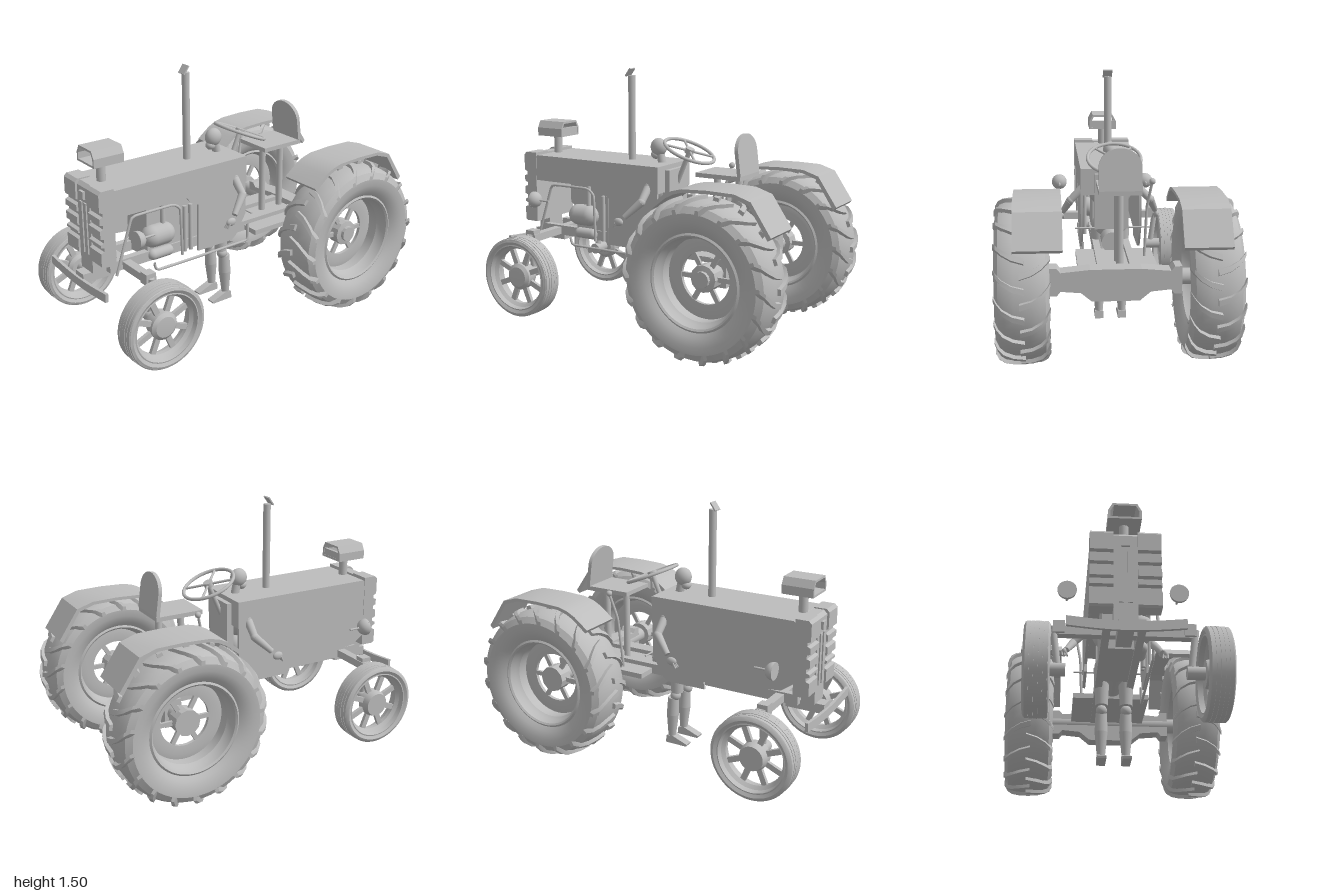
import * as THREE from 'three';
import { toCreasedNormals } from 'three/addons/utils/BufferGeometryUtils.js';

const CX = -0.015; // centre line of the body
const V = (x, y, z) => new THREE.Vector3(x, y, z);

export function createModel() {
  const root = new THREE.Group();
  root.name = 'tractor';
  const grey = new THREE.MeshStandardMaterial({ color: 0xbcbcbc, side: THREE.DoubleSide });
  grey.name = 'plain grey';

  const add = (name, geo, parent = root, x = 0, y = 0, z = 0) => {
    const m = new THREE.Mesh(geo, grey);
    m.name = name;
    m.position.set(x, y, z);
    parent.add(m);
    return m;
  };
  const group = (name, parent = root, x = 0, y = 0, z = 0) => {
    const g = new THREE.Group();
    g.name = name;
    g.position.set(x, y, z);
    parent.add(g);
    return g;
  };
  // box from its limits
  const box = (name, x0, x1, y0, y1, z0, z1, parent = root) =>
    add(name, new THREE.BoxGeometry(x1 - x0, y1 - y0, z1 - z0), parent, (x0 + x1) / 2, (y0 + y1) / 2, (z0 + z1) / 2);
  // side outline of [z, y] points, extruded along x
  const side = (name, pts, x0, x1, parent = root) => {
    const s = new THREE.Shape(pts.map(([z, y]) => new THREE.Vector2(-z, y)));
    const g = new THREE.ExtrudeGeometry(s, { depth: x1 - x0, bevelEnabled: false });
    return add(name, toCreasedNormals(g.rotateY(Math.PI / 2), 0.55), parent, x0);
  };
  // round bar between two points
  const link = (name, a, b, ra, rb = ra, parent = root) => {
    const d = b.clone().sub(a);
    const m = add(name, new THREE.CylinderGeometry(rb, ra, d.length(), 16), parent);
    m.position.copy(a).addScaledVector(d, 0.5);
    m.quaternion.setFromUnitVectors(V(0, 1, 0), d.normalize());
    return m;
  };
  const ball = (name, p, r, parent = root, sx = 1, sy = 1, sz = 1) => {
    const m = add(name, new THREE.SphereGeometry(r, 18, 12), parent, p.x, p.y, p.z);
    m.scale.set(sx, sy, sz);
    return m;
  };
  const pipe = (name, pts, r, parent = root) =>
    add(name, new THREE.TubeGeometry(new THREE.CatmullRomCurve3(pts, false, 'catmullrom', 0.15), 40, r, 8), parent);
  // turned part around the x axis from [radius, x] points
  const turned = (name, pts, parent, n = 56) => {
    const g = new THREE.LatheGeometry(pts.map(([r, x]) => new THREE.Vector2(r, x)), n);
    return add(name, toCreasedNormals(g.rotateZ(-Math.PI / 2), 0.5), parent);
  };
  const spokes = (n, r0, r1, w, t, x, parent) => {
    for (let i = 0; i < n; i++) {
      const g = new THREE.BoxGeometry(t, r1 - r0, w).translate(x, (r0 + r1) / 2, 0);
      add('spoke', g, parent).rotation.x = ((i + 0.5) / n) * Math.PI * 2;
    }
  };

  // curved tyre lug made of rectangular sections [x, base radius, top radius, angle]
  const lugGeometry = (sign) => {
    const rows = [[-0.012, 0.425, 0.453, 0], [0.05, 0.42, 0.452, 0.04], [0.1, 0.405, 0.443, 0.11], [0.13, 0.385, 0.425, 0.19], [0.145, 0.372, 0.398, 0.25]];
    const pos = [], idx = [];
    rows.forEach(([x, r0, r1, a], i) => {
      const w = 0.045 - i * 0.003;
      for (const [r, da] of [[r0, -w], [r1, -w * 0.75], [r1, w * 0.75], [r0, w]])
        pos.push(x * sign, r * Math.cos(a + da), r * Math.sin(a + da));
      if (i) for (let k = 0; k < 4; k++) {
        const p = (i - 1) * 4 + k, q = (i - 1) * 4 + ((k + 1) % 4);
        if (sign > 0) idx.push(p, q, p + 4, q, q + 4, p + 4);
        else idx.push(p, p + 4, q, q, p + 4, q + 4);
      }
    });
    const e = (rows.length - 1) * 4;
    if (sign > 0) idx.push(0, 2, 1, 0, 3, 2, e, e + 1, e + 2, e, e + 2, e + 3);
    else idx.push(0, 1, 2, 0, 2, 3, e, e + 2, e + 1, e, e + 3, e + 2);
    const g = new THREE.BufferGeometry();
    g.setAttribute('position', new THREE.Float32BufferAttribute(pos, 3));
    g.setIndex(idx);
    return toCreasedNormals(g, 0.4);
  };
  const lugs = [lugGeometry(1), lugGeometry(-1)];

  for (const s of [-1, 1]) {
    // rear wheel
    const rear = group('rearWheel', root, s * 0.5, 0.455, -0.54);
    turned('rearTyre', [[0.265, -0.1], [0.29, -0.12], [0.335, -0.138], [0.375, -0.14], [0.41, -0.12], [0.425, -0.09], [0.433, -0.04],
      [0.433, 0.04], [0.425, 0.09], [0.41, 0.12], [0.375, 0.14], [0.335, 0.138], [0.29, 0.12], [0.265, 0.1]], rear, 64);
    for (let i = 0; i < 18; i++) lugs.forEach((g, k) => {
      add('tyreLug', g, rear).rotation.x = ((i + k / 2) / 18) * Math.PI * 2;
    });
    // deep rim with the disc set towards the inside
    turned('rearRim', [[0.268, -0.1], [0.255, -0.108], [0.245, -0.1], [0.238, -0.06], [0.225, -0.04], [0.225, 0.04],
      [0.238, 0.06], [0.245, 0.1], [0.255, 0.108], [0.268, 0.1]], rear, 64);
    const dx = -s * 0.03;
    turned('rearDisc', [[0.23, dx - 0.008], [0.195, dx - 0.014], [0.145, dx - 0.01], [0.145, dx + 0.01], [0.195, dx + 0.014], [0.23, dx + 0.008]], rear, 48);
    spokes(6, 0.06, 0.15, 0.026, 0.016, dx, rear);
    turned('rearHub', [[0, dx - 0.045], [0.075, dx - 0.045], [0.075, dx + 0.035], [0.045, dx + 0.04], [0.045, dx + 0.06], [0, dx + 0.06]], rear, 12);

    // front wheel with ribbed tread
    const front = group('frontWheel', root, s * 0.446, 0.262, 0.755);
    const tread = [[0.2, -0.055], [0.22, -0.066], [0.235, -0.06]];
    for (let i = -2; i <= 2; i++) {
      const x = i * 0.022, r = 0.243 - Math.abs(i) * 0.001;
      tread.push([r, x - 0.0098], [r, x + 0.0098], [r - 0.003, x + 0.01], [r - 0.003, x + 0.012]);
    }
    tread.push([0.235, 0.06], [0.22, 0.066], [0.2, 0.055]);
    turned('frontTyre', tread, front);
    turned('frontRim', [[0.205, -0.055], [0.195, -0.058], [0.188, -0.03], [0.17, -0.012], [0.17, 0.012], [0.188, 0.03], [0.195, 0.058], [0.205, 0.055]], front);
    spokes(8, 0.06, 0.178, 0.032, 0.02, 0, front);
    turned('frontHub', [[0, -0.05], [0.07, -0.05], [0.08, -0.02], [0.08, 0.025], [0.06, 0.04], [0, 0.045]], front, 28);

    // steering knuckle and stub axle
    const kx = s * 0.335 + CX * 0.5;
    link('kingPin', V(kx + s * 0.03, 0.5, 0.755), V(kx, 0.27, 0.755), 0.018);
    link('stubAxle', V(s * 0.305, 0.265, 0.755), V(s * 0.43, 0.265, 0.755), 0.034);
    box('axleEnd', kx - 0.03, kx + 0.03, 0.46, 0.525, 0.725, 0.785);

    // headlight with its rear stem
    const lamp = group('headlight', root, CX + s * 0.29, 0.7, 0.785);
    add('lampShell', new THREE.SphereGeometry(0.05, 24, 10, 0, Math.PI * 2, 0, Math.PI / 2).rotateX(-Math.PI / 2), lamp);
    add('lampGlass', new THREE.CylinderGeometry(0.05, 0.05, 0.01, 24).rotateX(Math.PI / 2), lamp);
    link('lampStem', V(0, 0, -0.04), V(0, 0, -0.115), 0.006, 0.006, lamp);

    // fender strip following the wheel
    const arc = [[-0.235, 0.825], [-0.32, 0.89], [-0.37, 0.915], [-0.43, 0.931], [-0.58, 0.938], [-0.735, 0.935], [-0.83, 0.905], [-0.945, 0.735]];
    const inner = arc.map(([z, y]) => [z + (-0.54 - z) * 0.045, y - 0.018]).reverse();
    const fx = -0.012 + s * 0.43;
    side('fender', [...arc, ...inner], fx - 0.126, fx + 0.126);

    box('chassisRail', CX + s * 0.09 - 0.02, CX + s * 0.09 + 0.02, 0.45, 0.51, -0.5, 0.85);

    // mannequin limbs
    const limb = group(s > 0 ? 'leftLimbs' : 'rightLimbs');
    const lx = CX + s * 0.07;
    link('thigh', V(lx, 0.58, 0.06), V(lx, 0.35, 0.06), 0.048, 0.036, limb);
    ball('knee', V(lx, 0.325, 0.05), 0.032, limb);
    link('calf', V(lx, 0.2, 0.03), V(lx, 0.31, 0.035), 0.037, 0.033, limb);
    link('shin', V(lx, 0.06, 0.025), V(lx, 0.2, 0.03), 0.023, 0.037, limb);
    ball('ankle', V(lx, 0.05, 0.025), 0.025, limb);
    side('foot', [[0.135, 0.015], [0.14, 0.028], [0.08, 0.05], [0.04, 0.065], [0, 0.06], [-0.005, 0.015]], lx - 0.025, lx + 0.025, limb);
    const shoulder = V(CX + s * 0.155, 0.84, 0.03), elbow = V(CX + s * 0.238, 0.755, 0.03), wrist = V(CX + s * 0.28, 0.665, 0.12);
    ball('shoulder', shoulder, 0.03, limb);
    link('upperArm', shoulder, elbow, 0.026, 0.022, limb);
    ball('elbow', elbow, 0.024, limb);
    link('forearm', elbow, wrist, 0.025, 0.017, limb);
    ball('hand', V(CX + s * 0.292, 0.635, 0.155), 0.02, limb, 0.8, 1.2, 1.6);
    for (let f = -1; f <= 1; f++)
      link('finger', V(CX + s * 0.292 + f * 0.012, 0.63, 0.17), V(CX + s * 0.287 + f * 0.014, 0.6, 0.185), 0.006, 0.005, limb);
  }

  // mannequin head and trunk
  const body = group('mannequin');
  ball('head', V(CX, 1.046, 0.06), 0.047, body, 0.9, 1.15, 1.1);
  ball('jaw', V(CX, 1.0, 0.08), 0.03, body, 1, 0.9, 1);
  link('neck', V(CX, 0.92, 0.03), V(CX, 1.02, 0.05), 0.026, 0.024, body);
  ball('chest', V(CX, 0.82, 0.03), 0.11, body, 1.2, 1.1, 0.7);
  ball('hips', V(CX, 0.6, 0.045), 0.09, body, 1.25, 0.9, 0.7);

  // hood, side panels and engine
  const L = CX - 0.18, R = CX + 0.18;
  side('hood', [[0.855, 0.8], [0.855, 0.945], [0.84, 0.957], [-0.045, 0.957], [-0.045, 0.8]], L, R);
  const tail = [[0.305, 0.455], [0.06, 0.455], [0.03, 0.48], [-0.04, 0.6], [-0.04, 0.8]];
  side('rightPanel', [[0.38, 0.8], [0.36, 0.775], [0.3, 0.74], ...tail], R - 0.015, R);
  side('leftPanel', [[0.85, 0.8], [0.85, 0.6], [0.78, 0.55], [0.3, 0.5], ...tail], L, L + 0.015);
  box('dash', CX - 0.1, CX + 0.1, 0.6, 0.93, -0.075, -0.03);
  box('engineBlock', CX - 0.1, CX + 0.1, 0.46, 0.8, 0.16, 0.6);
  for (const [y, r, len, z] of [[0.6, 0.065, 0.075, 0.535], [0.485, 0.032, 0.1, 0.52]])
    add('engineTank', new THREE.CapsuleGeometry(r, len, 8, 20).rotateX(Math.PI / 2), root, CX + 0.112, y, z);
  link('tankStem', V(CX + 0.112, 0.65, 0.5), V(CX + 0.112, 0.8, 0.5), 0.015);
  for (const z of [0.33, 0.37]) link('enginePipe', V(CX + 0.14, 0.46, z), V(CX + 0.14, 0.74, z), 0.012);

  // tubing and step rail on the open engine side
  const px = R - 0.01;
  pipe('frameTube', [V(px, 0.46, 0.845), V(px, 0.76, 0.745), V(px, 0.78, 0.71), V(px, 0.78, 0.47), V(px, 0.74, 0.42), V(px, 0.46, 0.41)], 0.008);
  pipe('stepRail', [V(px, 0.46, 0.6), V(px, 0.415, 0.57), V(px, 0.415, -0.04), V(px, 0.43, -0.065), V(px, 0.52, -0.065)], 0.008);
  link('pedalBar', V(-0.245, 0.605, -0.06), V(0.2, 0.605, -0.06), 0.005);

  // grille: cheeks with four grooves and a centre column
  for (const s of [-1, 1]) {
    const pts = [[0.85, 0.535], [0.85, 0.972], [0.925, 0.972], [0.942, 0.955]];
    for (const y of [0.84, 0.77, 0.69, 0.64])
      pts.push([0.942, y + 0.018], [0.922, y + 0.01], [0.922, y - 0.01], [0.942, y - 0.018]);
    pts.push([0.942, 0.545], [0.93, 0.535]);
    const x0 = s < 0 ? L - 0.003 : CX + 0.062;
    side('groovedGrille', pts, x0, x0 + 0.121);
  }
  side('grilleColumn', [[0.85, 0.455], [0.85, 0.965], [0.91, 0.965], [0.93, 0.945], [0.93, 0.455]], CX - 0.062, CX + 0.062);
  for (const s of [-1, 1]) box('grilleBar', CX + s * 0.022 - 0.012, CX + s * 0.022 + 0.012, 0.56, 0.86, 0.925, 0.938);
  box('grillePlate', CX - 0.022, CX + 0.022, 0.88, 0.925, 0.925, 0.945);

  // front axle and bumper
  box('frontAxle', CX - 0.37, CX + 0.37, 0.455, 0.5, 0.72, 0.77);
  const bent = new THREE.BoxGeometry(0.59, 0.05, 0.018, 24, 1, 1), bp = bent.attributes.position;
  for (let i = 0; i < bp.count; i++) bp.setY(i, bp.getY(i) + 0.02 * (1 - Math.cos(bp.getX(i) * 5.3)) - 0.012);
  bent.computeVertexNormals();
  add('bumper', bent, root, CX, 0.415, 0.985);
  box('bumperMount', CX - 0.04, CX + 0.04, 0.4, 0.455, 0.75, 0.98);

  // air intake and exhaust
  link('intakeStem', V(CX, 0.95, 0.815), V(CX, 1.07, 0.815), 0.026);
  const mouth = new THREE.Shape([[-0.088, 0], [0.088, 0], [0.088, 0.05], [0.065, 0.092], [-0.065, 0.092], [-0.088, 0.05]].map((p) => new THREE.Vector2(...p)));
  mouth.holes.push(new THREE.Path([[-0.075, 0.012], [0.075, 0.012], [0.075, 0.048], [0.058, 0.08], [-0.058, 0.08], [-0.075, 0.048]].map((p) => new THREE.Vector2(...p))));
  add('intakeBox', new THREE.ExtrudeGeometry(mouth, { depth: 0.185, bevelEnabled: false }), root, CX, 1.067, 0.72);
  box('intakeBack', CX - 0.075, CX + 0.075, 1.072, 1.12, 0.722, 0.74);
  link('exhaustPipe', V(CX, 0.95, 0.25), V(CX, 1.462, 0.25), 0.022);
  add('exhaustFlap', new THREE.BoxGeometry(0.056, 0.008, 0.055), root, CX, 1.48, 0.262).rotation.x = 0.95;

  // steering wheel and column
  const steer = group('steeringWheel', root, CX - 0.01, 1.038, -0.145);
  steer.rotation.x = -0.4;
  add('steeringRim', new THREE.TorusGeometry(0.153, 0.01, 10, 48).rotateX(Math.PI / 2), steer);
  add('steeringHub', new THREE.CylinderGeometry(0.028, 0.028, 0.03, 20), steer);
  for (let i = 0; i < 4; i++) {
    const a = (i * Math.PI) / 2 + Math.PI / 4;
    link('steeringSpoke', V(0, 0, 0), V(0.148 * Math.cos(a), 0, 0.148 * Math.sin(a)), 0.007, 0.007, steer);
  }
  link('steeringColumn', V(CX - 0.01, 1.035, -0.145), V(CX - 0.01, 0.79, -0.04), 0.014);

  // seat on two posts
  const back = new THREE.Shape();
  back.moveTo(-0.117, 0).lineTo(0.117, 0).lineTo(0.117, 0.13).absellipse(0, 0.13, 0.117, 0.1, 0, Math.PI).lineTo(-0.117, 0);
  const backGeo = new THREE.ExtrudeGeometry(back, { depth: 0.022, bevelEnabled: false, curveSegments: 20 });
  add('seatBack', backGeo, root, CX - 0.015, 0.935, -0.538).rotation.x = 0.13;
  box('seatPan', CX - 0.132, CX + 0.102, 0.91, 0.935, -0.535, -0.25);
  for (const z of [-0.33, -0.47]) link('seatPost', V(CX - 0.015, 0.47, z), V(CX - 0.015, 0.92, z), 0.02);

  // lever
  pipe('lever', [V(-0.19, 0.48, -0.25), V(-0.2, 0.78, -0.28), V(-0.225, 0.94, -0.32)], 0.008);
  ball('leverKnob', V(-0.225, 0.94, -0.32), 0.018);

  // platform, gearbox and rear axle
  box('platform', -0.245, 0.2, 0.455, 0.485, -0.53, -0.09);
  link('gearbox', V(CX, 0.53, 0.16), V(CX, 0.53, -0.12), 0.062);
  const half = [[0, 0.34], [0.13, 0.34], [0.19, 0.39], [0.3, 0.4], [0.32, 0.375], [0.36, 0.375], [0.36, 0.53], [0.32, 0.53], [0.3, 0.505], [0.14, 0.52], [0, 0.52]];
  const beam = new THREE.Shape([...half, ...half.slice(1, -1).reverse().map(([x, y]) => [-x, y])].map((p) => new THREE.Vector2(...p)));
  add('rearAxleBeam', new THREE.ExtrudeGeometry(beam, { depth: 0.1, bevelEnabled: false }), root, 0, 0, -0.6);
  link('rearAxle', V(-0.5, 0.455, -0.54), V(0.5, 0.455, -0.54), 0.045);
  return root;
}
